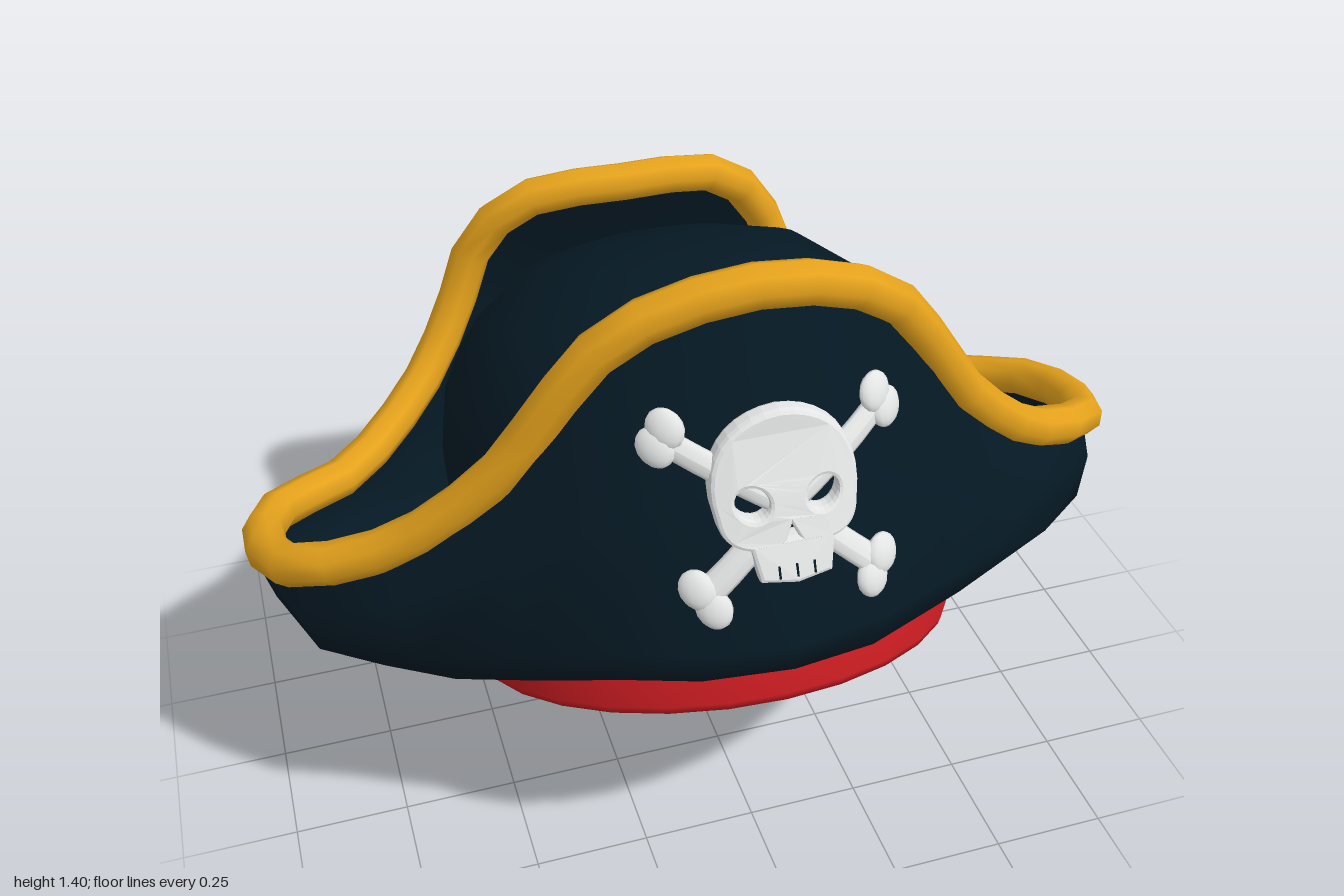
import * as THREE from 'three';

const mat = (name, color, side = THREE.FrontSide) => {
  const m = new THREE.MeshStandardMaterial({ color, side });
  m.name = name;
  return m;
};

// Half rings of the brim, running from the front centre round the left side to the back centre
const LOW = [[0, .65, .715], [.18, .635, .68], [.32, .605, .6], [.46, .55, .5], [.62, .48, .37], [.75, .4, .2], [.8, .35, 0],
  [.74, .31, -.14], [.62, .28, -.29], [.47, .24, -.41], [.34, .21, -.48], [.24, .19, -.52], [.14, .18, -.54], [0, .18, -.55]];
const BULGE = [[0, .72, .73], [.2, .72, .695], [.35, .7, .62], [.5, .66, .53], [.7, .6, .42], [.88, .53, .25], [.95, .5, .02],
  [.9, .46, -.15], [.75, .42, -.31], [.57, .41, -.44], [.42, .43, -.53], [.3, .46, -.59], [.18, .49, -.63], [0, .5, -.65]];
const RIM = [[0, 1.355, .43], [.26, 1.28, .405], [.39, 1.13, .38], [.49, .98, .355], [.7, .79, .28], [.91, .7, .17], [.955, .65, 0],
  [.91, .61, -.15], [.73, .565, -.31], [.52, .675, -.485], [.415, .83, -.555], [.35, .98, -.565], [.235, 1.085, -.535], [0, 1.11, -.51]];
const TILT = -0.39;

export function createModel() {
  const hat = new THREE.Group();
  hat.name = 'hat';
  const navy = mat('navy felt', 0x051924, THREE.DoubleSide);
  const gold = mat('gold trim', 0xe6a31c);
  const red = mat('red cloth', 0xbf1a1f, THREE.DoubleSide);
  const bone = mat('bone white', 0xe2e5e4);

  const add = (parent, name, geometry, material) => {
    const mesh = new THREE.Mesh(geometry, material);
    mesh.name = name;
    parent.add(mesh);
    return mesh;
  };
  const mirrorRing = half => [...half, ...half.slice(1, -1).reverse().map(([x, y, z]) => [-x, y, z])];

  // Brim: lofted from the head opening, out round the bulge and up to the rim
  const opening = RIM.map((_, i) => {
    const a = i * Math.PI / (RIM.length - 1), z = .145 + .51 * Math.cos(a);
    return [.535 * Math.sin(a), .342 + .412 * z, z];
  });
  const wall = RIM.map((p, i) => {
    const q = BULGE[i], out = Math.cos(i * Math.PI / 13);
    return [(p[0] + q[0]) / 2 * 1.02, (p[1] + q[1]) / 2, (p[2] + q[2]) / 2 + (out > 0 ? .02 : .055) * out];
  });
  const rings = [opening, LOW, BULGE, wall, RIM].map(mirrorRing);
  const n = rings[0].length, index = [];
  for (let r = 0; r < rings.length - 1; r++) {
    for (let i = 0; i < n; i++) {
      const a = r * n + i, b = r * n + (i + 1) % n;
      index.push(a, b, b + n, a, b + n, a + n);
    }
  }
  const brim = new THREE.BufferGeometry();
  brim.setAttribute('position', new THREE.Float32BufferAttribute(rings.flat(2), 3));
  brim.setIndex(index);
  brim.computeVertexNormals();
  add(hat, 'brim', brim, navy);

  // Gold piping along the rim
  const rimPath = new THREE.CatmullRomCurve3(mirrorRing(RIM).map(p => new THREE.Vector3(...p)), true);
  add(hat, 'rimTrim', new THREE.TubeGeometry(rimPath, 52, .046, 8, true), gold);

  // Crown and headband share one tilted axis; the crown lines the band on the inside
  const head = new THREE.Group();
  head.name = 'headPiece';
  head.position.set(0, .38, .15);
  head.rotation.x = TILT;
  head.scale.z = 1.03;
  hat.add(head);
  const lathe = pts => new THREE.LatheGeometry(pts.map(p => new THREE.Vector2(...p)), 28);
  add(head, 'crown', lathe([[.505, -.05], [.52, .02], [.545, .22], [.55, .42], [.525, .55], [.48, .635], [.43, .7],
    [.29, .8], [.15, .83], [0, .835]]), navy);
  add(head, 'headband', lathe([[.505, -.05], [.52, -.06], [.54, -.056], [.548, -.04], [.534, .02]]), red);

  // Emblem: drawn flat in x and y, then sheared and bent onto the front of the brim
  const emblem = new THREE.Group();
  emblem.name = 'emblem';
  hat.add(emblem);
  const onBrim = (name, geometry, material) => {
    const p = geometry.attributes.position;
    for (let i = 0; i < p.count; i++) {
      const x = p.getX(i), y = p.getY(i);
      p.setZ(i, p.getZ(i) + .745 - .455 * (y - .72) - .9 * x * x);
    }
    geometry.computeVertexNormals();
    add(emblem, name, geometry, material);
  };

  const skull = new THREE.Shape();
  skull.moveTo(0, .87);
  skull.lineTo(.07, .878);
  skull.lineTo(.082, .935);
  skull.bezierCurveTo(.12, .94, .135, .96, .138, .99);
  skull.bezierCurveTo(.165, 1.09, .1, 1.167, 0, 1.17);
  skull.bezierCurveTo(-.1, 1.167, -.165, 1.09, -.138, .99);
  skull.bezierCurveTo(-.135, .96, -.12, .94, -.082, .935);
  skull.lineTo(-.07, .878);
  for (const s of [-1, 1]) {
    const eye = new THREE.Path();
    eye.absellipse(s * .07, 1.015, .035, .03, 0, Math.PI * 2, true, s * .3);
    skull.holes.push(eye);
  }
  const nose = new THREE.Path();
  nose.moveTo(0, .975);
  nose.lineTo(.014, .948);
  nose.lineTo(-.014, .948);
  skull.holes.push(nose);
  onBrim('skull', new THREE.ExtrudeGeometry(skull, {
    depth: .018, bevelThickness: .01, bevelSize: .008, bevelOffset: -.006, bevelSegments: 2, curveSegments: 10,
  }).translate(0, 0, .008), bone);
  for (const x of [-.035, 0, .035]) {
    onBrim('toothGap', new THREE.BoxGeometry(.004, .022, .004).translate(x, .893, .035), navy);
  }

  // Crossed bones, four visible ends with two knobs each
  for (const s of [-1, 1]) {
    for (const [end, k1, k2] of [
      [[.21, 1.12], [.207, 1.145], [.228, 1.112]],
      [[.165, .855], [.16, .828], [.186, .862]],
    ]) {
      const dx = s * end[0], dy = end[1] - 1.0;
      const shaft = new THREE.CylinderGeometry(.025, .025, Math.hypot(dx, dy), 10, 4);
      shaft.rotateZ(Math.atan2(-dx, dy)).scale(1, 1, .6).translate(dx / 2, 1.0 + dy / 2, .014);
      onBrim('boneShaft', shaft, bone);
      for (const [x, y] of [k1, k2]) {
        onBrim('boneKnob', new THREE.SphereGeometry(.035, 12, 8).scale(1, 1, .6).translate(s * x, y, .018), bone);
      }
    }
  }

  // Knotted cloth at the back
  const bow = new THREE.Group();
  bow.name = 'backKnot';
  hat.add(bow);
  const blob = (name, from, to, w, d, taper) => {
    const a = new THREE.Vector3(...from), b = new THREE.Vector3(...to), len = a.distanceTo(b);
    const g = new THREE.SphereGeometry(1, 10, 8), p = g.attributes.position;
    for (let i = 0; i < p.count; i++) {
      const y = p.getY(i), k = 1 + taper * y;
      p.setXYZ(i, p.getX(i) * w * k, y * len / 2, p.getZ(i) * d * k);
    }
    g.computeVertexNormals();
    const mesh = add(bow, name, g, red);
    mesh.position.copy(a).add(b).multiplyScalar(.5);
    mesh.quaternion.setFromUnitVectors(new THREE.Vector3(0, 1, 0), b.sub(a).normalize());
  };
  blob('knot', [0, .15, -.53], [0, .33, -.66], .07, .065, 0);
  for (const s of [-1, 1]) {
    blob('knotLoop', [s * .01, .18, -.61], [s * .07, .35, -.665], .055, .045, .2);
    blob('tail', [s * .03, .25, -.625], [s * .185, 0, -.722], .068, .042, -.25);
  }
  return hat;
}
